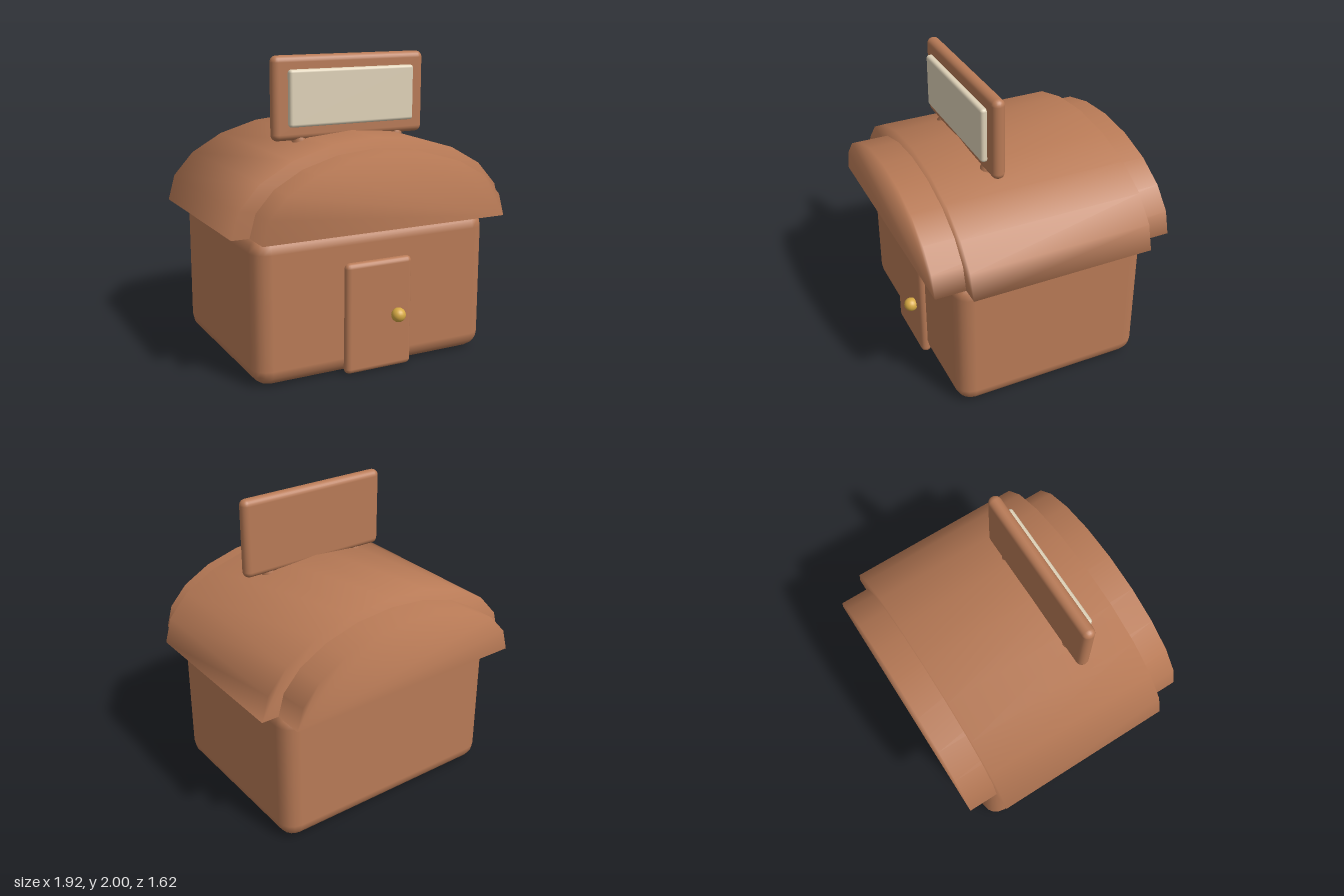
import * as THREE from 'three';
import { RoundedBoxGeometry } from 'three/addons/geometries/RoundedBoxGeometry.js';

const mat = (name, color) => {
  const m = new THREE.MeshStandardMaterial({ color });
  m.name = name;
  return m;
};

// Open-bottomed half-ellipse vault with closed ends and shared smooth normals
function vaultGeometry(halfWidth, height, halfDepth, segments = 10) {
  const pos = [], index = [];
  for (let i = 0; i <= segments; i++) {
    const t = (i / segments) * Math.PI;
    const x = halfWidth * Math.cos(t), y = height * Math.sin(t);
    pos.push(x, y, halfDepth, x, y, -halfDepth);
  }
  for (let i = 0; i < segments; i++) {
    const f = 2 * i, b = f + 1;
    index.push(f, b, b + 2, f, b + 2, f + 2);
    if (i > 0) index.push(0, f, f + 2, 1, b + 2, b); // end caps
  }
  const g = new THREE.BufferGeometry();
  g.setAttribute('position', new THREE.Float32BufferAttribute(pos, 3));
  g.setIndex(index);
  g.computeVertexNormals();
  return g;
}

export function createModel() {
  const group = new THREE.Group();
  const brown = mat('warm brown', 0xb87a56);
  brown.side = THREE.DoubleSide;
  const cream = mat('cream', 0xdfd2b8);
  const gold = mat('gold', 0xd6a943);

  const add = (name, geometry, material, x, y, z) => {
    const mesh = new THREE.Mesh(geometry, material);
    mesh.name = name;
    mesh.position.set(x, y, z);
    group.add(mesh);
    return mesh;
  };
  const rounded = (w, h, d, seg, r) => new RoundedBoxGeometry(w, h, d, seg, r);

  // House
  add('houseBody', rounded(1.66, 0.96, 1.31, 2, 0.11), brown, 0, 0.485, 0);
  add('door', rounded(0.475, 0.73, 0.07, 2, 0.034), brown, 0, 0.375, 0.658);
  add('doorKnob', new THREE.SphereGeometry(0.047, 20, 14), gold, 0.12, 0.37, 0.72);

  // Roof: a wide vault over a longer, lower one
  add('outerRoof', vaultGeometry(0.96, 0.543, 0.61), brown, 0, 0.965, 0);
  add('innerRoof', vaultGeometry(0.845, 0.475, 0.81), brown, 0, 0.965, 0);

  // Sign on the roof
  add('signBoard', rounded(1.085, 0.535, 0.086, 3, 0.042), brown, 0, 1.733, 0.243);
  add('signPanel', rounded(0.89, 0.36, 0.05, 2, 0.02), cream, 0, 1.735, 0.3);

  // Tapered sign posts
  const profile = [[0.048, 1.3], [0.048, 1.465], [0.02, 1.497], [0.016, 1.535], [0, 1.535]]
    .map(([r, y]) => new THREE.Vector2(r, y));
  for (const side of [-1, 1]) {
    add(side > 0 ? 'leftSignPost' : 'rightSignPost',
      new THREE.LatheGeometry(profile, 16), brown, side * 0.35, 0, 0.248);
  }
  return group;
}
